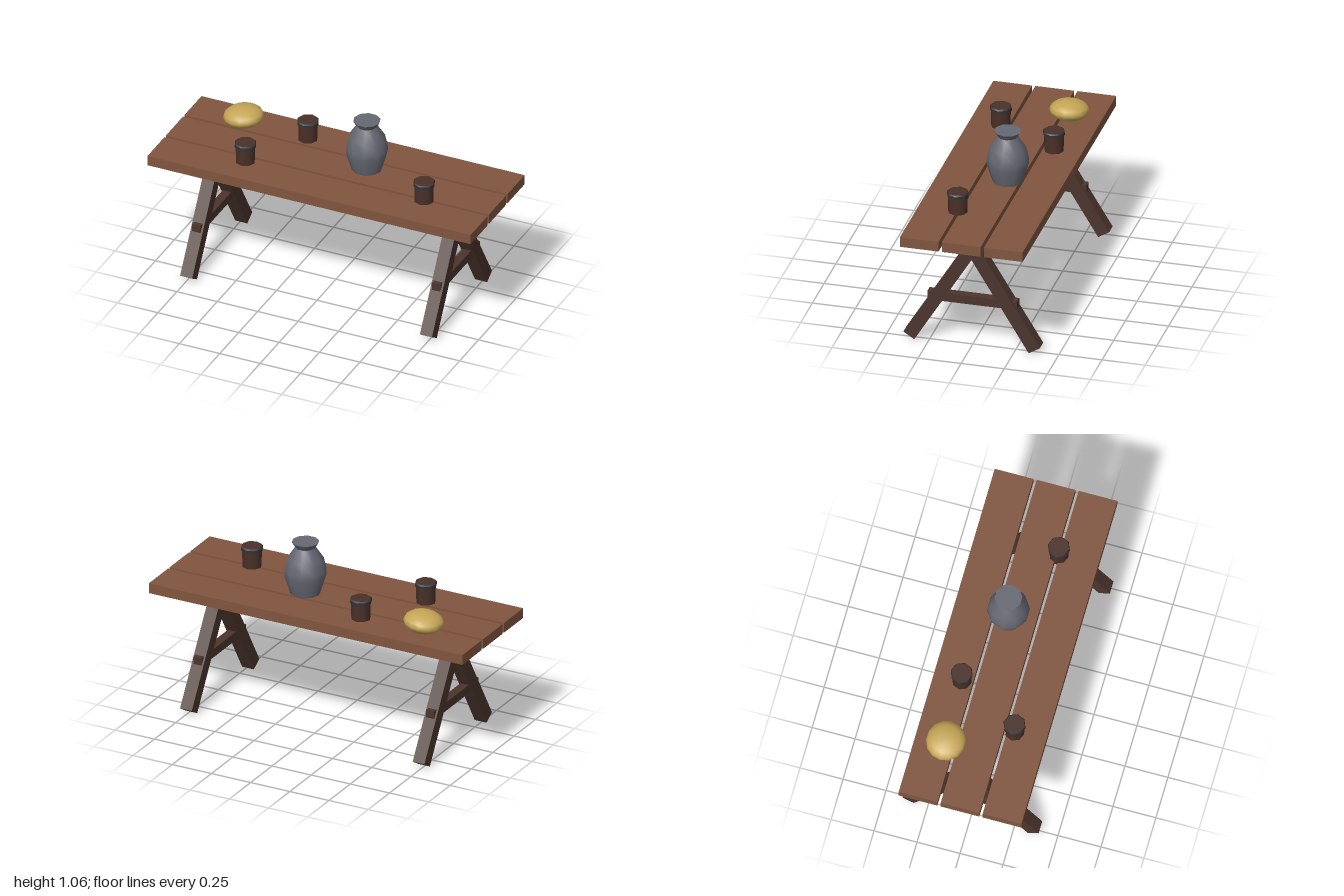
import * as THREE from 'three';
import { toCreasedNormals } from 'three/addons/utils/BufferGeometryUtils.js';

function material(name, color) {
  const m = new THREE.MeshStandardMaterial({ color });
  m.name = name;
  return m;
}

export function createModel() {
  const model = new THREE.Group();
  model.name = 'trestleTable';

  const plankWood = material('plankWood', 0x80553f);
  const legWood = material('legWood', 0x4c352d);
  const cupWood = material('cupWood', 0x4a3129);
  const darkBand = material('darkBand', 0x34343a);
  const greyClay = material('greyClay', 0x666873);
  const yellowRind = material('yellowRind', 0xc6a656);

  function add(parent, name, geometry, mat, x = 0, y = 0, z = 0) {
    const mesh = new THREE.Mesh(geometry, mat);
    mesh.name = name;
    mesh.position.set(x, y, z);
    parent.add(mesh);
    return mesh;
  }

  // Table top: three planks with gaps
  for (const z of [-0.244, 0, 0.244]) {
    add(model, 'plank', new THREE.BoxGeometry(2, 0.06, 0.225), plankWood, 0, 0.717, z);
  }

  // A-shaped trestles with a cross bar
  for (const x of [-0.742, 0.742]) {
    const trestle = new THREE.Group();
    trestle.name = 'trestle';
    trestle.position.x = x;
    model.add(trestle);
    for (const s of [-1, 1]) {
      const leg = add(trestle, 'leg', new THREE.BoxGeometry(0.075, 0.78, 0.075), legWood, 0, 0.353, s * 0.16);
      leg.rotation.x = -s * 0.55;
    }
    add(trestle, 'crossBar', new THREE.BoxGeometry(0.052, 0.051, 0.52), legWood, 0, 0.282, 0);
  }

  // Vase: ten-sided, closed at the rim
  const profile = [
    [0, 0.75], [0.086, 0.75], [0.12, 0.86], [0.119, 0.89], [0.103, 0.96],
    [0.057, 1.03], [0.078, 1.064], [0, 1.064],
  ].map(([r, y]) => new THREE.Vector2(r, y));
  const vase = toCreasedNormals(new THREE.LatheGeometry(profile, 10), 0.72);
  add(model, 'vase', vase, greyClay, 0.17, 0, -0.045).rotation.y = Math.PI / 2;

  // Cups: eight-sided body with a dark tapered band around the top
  for (const [x, z] of [[-0.48, 0.172], [-0.265, -0.195], [0.605, 0.127]]) {
    const cup = new THREE.Group();
    cup.name = 'cup';
    cup.position.set(x, 0.747, z);
    model.add(cup);
    add(cup, 'cupBody', new THREE.CylinderGeometry(0.0585, 0.056, 0.126, 8), cupWood, 0, 0.063, 0);
    add(cup, 'cupBandSide', new THREE.CylinderGeometry(0.0635, 0.0635, 0.016, 8, 1, true), darkBand, 0, 0.11, 0);
    add(cup, 'cupBandTop', new THREE.CylinderGeometry(0.0585, 0.0635, 0.008, 8, 1, true), darkBand, 0, 0.122, 0);
    const under = add(cup, 'cupBandUnderside', new THREE.RingGeometry(0.05, 0.0635, 8), darkBand, 0, 0.102, 0);
    under.rotation.x = Math.PI / 2;
  }

  // Flattened melon, leaning slightly to one side
  const melon = add(model, 'melon', new THREE.SphereGeometry(1, 14, 8), yellowRind, -0.656, 0.808, -0.178);
  melon.scale.set(0.117, 0.058, 0.113);
  melon.rotation.z = 0.1;

  return model;
}
